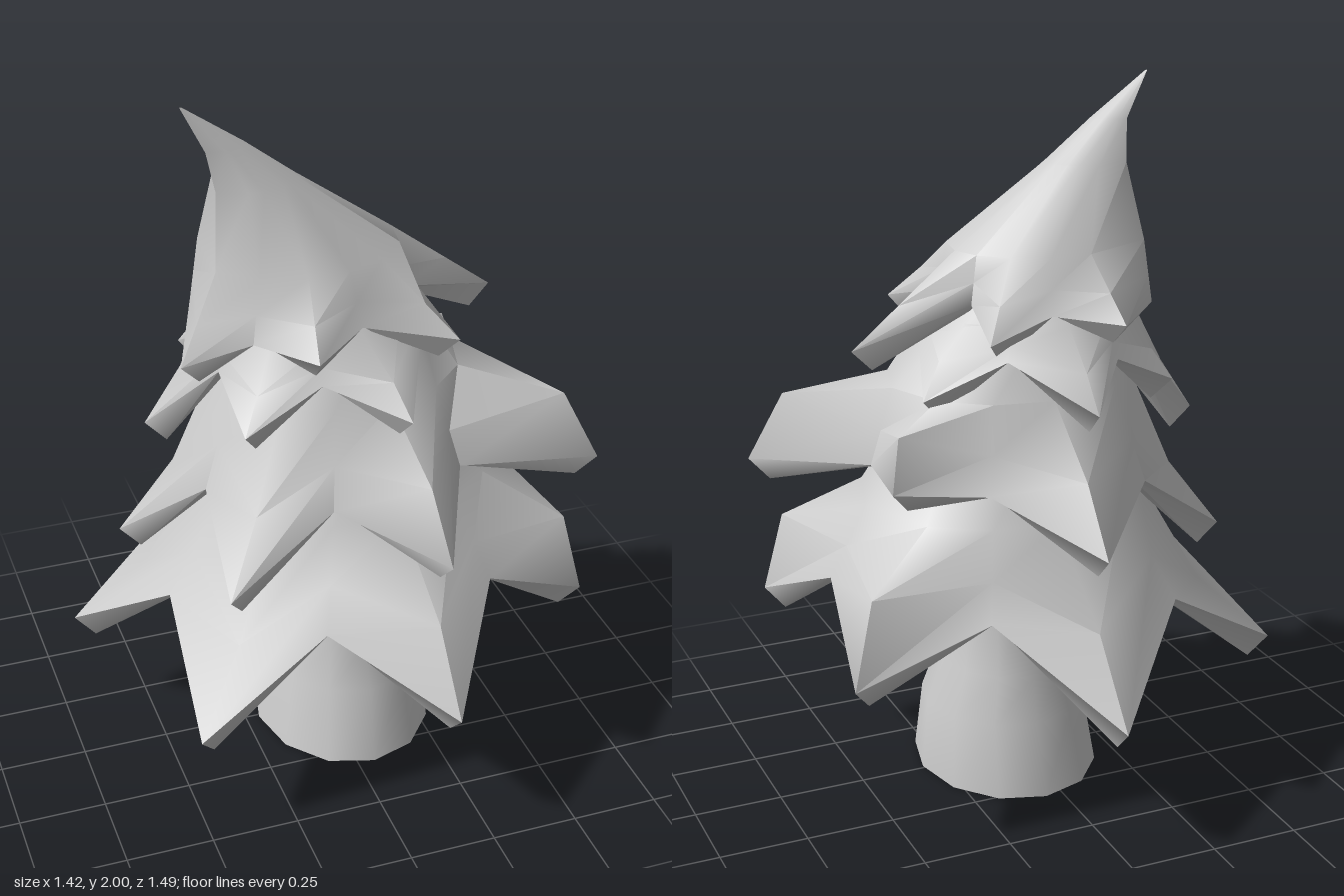
import * as THREE from 'three';
import { toCreasedNormals } from 'three/addons/utils/BufferGeometryUtils.js';

const material = new THREE.MeshStandardMaterial({ color: 0xcccccc, side: THREE.DoubleSide });

// Joins cross-section loops (top to bottom, same point count) into a skin
function loft(name, loops) {
  const n = loops[0].length;
  const index = [];
  for (let i = 0; i < loops.length - 1; i++) {
    for (let j = 0; j < n; j++) {
      const a = i * n + j, d = i * n + (j + 1) % n;
      index.push(a, d, d + n, a, d + n, a + n);
    }
  }
  const geometry = new THREE.BufferGeometry();
  geometry.setAttribute('position', new THREE.Float32BufferAttribute(loops.flat(2), 3));
  geometry.setIndex(index);
  const mesh = new THREE.Mesh(toCreasedNormals(geometry, 0.85), material);
  mesh.name = name;
  return mesh;
}

const mix = (p, q, t) => p.map((v, k) => v + (q[k] - v) * t);

// Point at an angle on a level ellipse [cx, y, cz, rx, rz]
const onEllipse = ([cx, y, cz, rx, rz], a) => [cx + rx * Math.cos(a), y, cz + rz * Math.sin(a)];

// One layer of boughs: upper ellipses, then a star-shaped hem whose notches lie
// on an ellipse midway between the tips, a blunt lip and a hollow underside.
// Fullness swells the boughs towards the heavier +x side.
function boughTier(name, fullness, upperRings, notchRing, tips) {
  const [cx, notchY, cz, rx, rz] = notchRing;
  const angles = tips.map(([x, , z]) => Math.atan2(z - cz, x - cx));
  const hem = tips.flatMap((tip, i) => {
    const a = angles[i], b = angles[(i + 1) % tips.length];
    const between = Math.atan2(Math.sin(a) + Math.sin(b), Math.cos(a) + Math.cos(b));
    const [x, y, z] = onEllipse(notchRing, between);
    return [tip, [x, y + 0.08 * x, z]];
  });
  const project = ring => hem.map(([x, , z]) =>
    onEllipse(ring, Math.atan2((z - ring[2]) / ring[4], (x - ring[0]) / ring[3])));
  const outward = ([x, y, z], out, up) => {
    const r = Math.hypot(x - cx, z - cz);
    return [x + (x - cx) / r * out, y + up, z + (z - cz) / r * out];
  };
  const isTip = j => j % 2 === 0;
  const upper = upperRings.map(project);
  const shoulder = upper[upper.length - 1];
  const middle = hem.map((p, j) => {
    const bulge = isTip(j) ? fullness * (0.25 + p[0]) : 0;
    return outward(mix(shoulder[j], p, 0.55), bulge, bulge);
  });
  const lip = hem.map((p, j) => isTip(j) ? outward(p, -0.06, -0.06) : outward(p, -0.03, -0.005));
  const under = project([cx, notchY + 0.06, cz, rx * 0.3, rz * 0.3]);
  const hollow = lip.map((p, j) => outward(mix(p, under[j], 0.5), 0, 0.03));
  return loft(name, [...upper, middle, hem, lip, hollow, under]);
}

// Hollow trunk flaring towards its open foot
function trunk() {
  const sections = [[0.06, 0.95, 0, 0.13, 0.15], [0.06, 0.6, 0, 0.16, 0.18], [0.055, 0.34, 0, 0.19, 0.215],
    [0.06, 0.21, 0, 0.235, 0.255], [0.05, 0, 0.01, 0.26, 0.31]];
  const sides = 12;
  return loft('trunk', sections.map(ring =>
    Array.from({ length: sides }, (_, j) => onEllipse(ring, j / sides * Math.PI * 2))));
}

export function createModel() {
  const tree = new THREE.Group();
  tree.name = 'tree';
  tree.add(trunk());

  tree.add(boughTier('lowerBoughs', 0.08,
    [[0.05, 1.08, 0, 0.28, 0.26], [0.07, 0.86, 0, 0.41, 0.36]],
    [0.04, 0.62, 0, 0.55, 0.51],
    [[0.67, 0.5, 0.35], [0.14, 0.43, 0.74], [-0.52, 0.34, 0.49],
      [-0.71, 0.33, -0.22], [0.02, 0.4, -0.75], [0.67, 0.52, -0.46]]));

  tree.add(boughTier('middleBoughs', 0.08,
    [[0.03, 1.38, 0, 0.23, 0.21], [0.04, 1.19, 0, 0.35, 0.3]],
    [0.03, 0.94, 0, 0.43, 0.39],
    [[0.71, 0.92, 0.32], [0.15, 0.85, 0.62], [-0.41, 0.74, 0.43],
      [-0.58, 0.68, -0.12], [0.02, 0.84, -0.62], [0.49, 0.98, -0.28]]));

  tree.add(boughTier('upperBoughs', 0.03,
    [[-0.07, 1.53, 0, 0.18, 0.16], [-0.04, 1.38, 0, 0.28, 0.26]],
    [-0.02, 1.29, 0, 0.33, 0.31],
    [[0.32, 1.27, 0.14], [0.09, 1.22, 0.46], [-0.33, 1.18, 0.33], [-0.5, 1.04, -0.08],
      [-0.35, 1.19, -0.25], [-0.02, 1.19, -0.47], [0.37, 1.2, -0.2]]));

  // Bent crown leaning to one side
  tree.add(boughTier('crown', 0,
    [[-0.395, 2, 0.03, 0.004, 0.004], [-0.295, 1.88, 0.02, 0.075, 0.045],
      [-0.215, 1.77, 0.01, 0.135, 0.095], [-0.08, 1.56, 0, 0.29, 0.215]],
    [-0.08, 1.41, 0, 0.3, 0.27],
    [[0.52, 1.32, -0.06], [0.28, 1.36, 0.31], [-0.14, 1.39, 0.38],
      [-0.45, 1.32, 0.15], [-0.14, 1.4, -0.38], [0.2, 1.35, -0.26]]));

  return tree;
}
